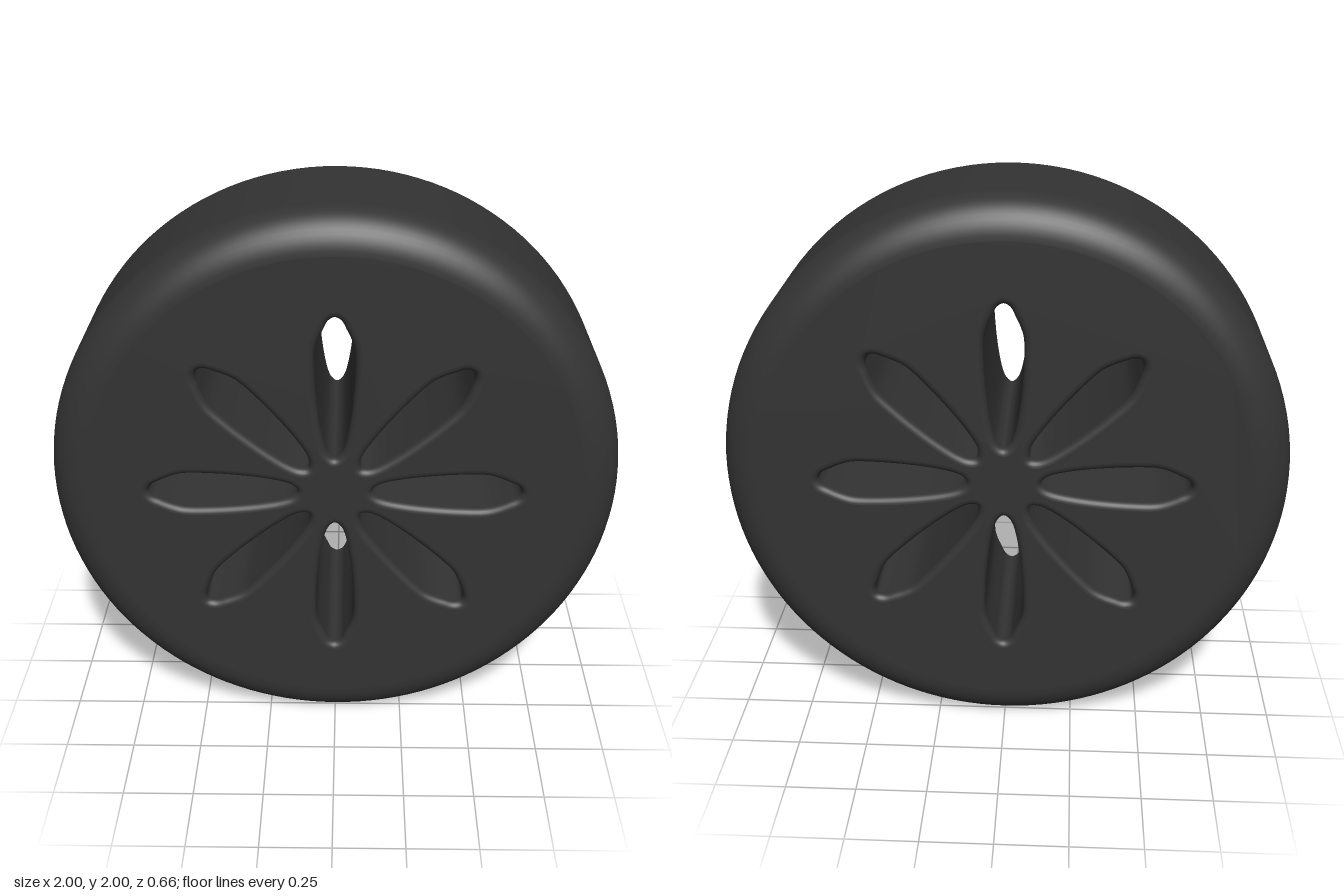
import * as THREE from 'three';

const R = 1, HALF = 0.33, ROUND = 0.135, EDGE = 0.025;
const SEGMENTS = 128, PETALS = 8;

// Closed petal outline pointing along +x, running counter-clockwise
function petalOutline() {
  const side = [[0.145, 0.02], [0.175, 0.034], [0.25, 0.05], [0.35, 0.062], [0.45, 0.068],
    [0.53, 0.067], [0.57, 0.056], [0.61, 0.038], [0.64, 0.022]];
  const lower = side.map(([x, y]) => new THREE.Vector3(x, -y, 0));
  const upper = side.map(([x, y]) => new THREE.Vector3(x, y, 0)).reverse();
  const curve = new THREE.CatmullRomCurve3([
    new THREE.Vector3(0.13, 0, 0), ...lower, new THREE.Vector3(0.652, 0, 0), ...upper,
  ], true);
  return curve.getPoints(80).slice(0, -1);
}

// Move the outline outwards along its normals
function offsetOutline(points, d) {
  const n = points.length;
  return points.map((p, i) => {
    const t = points[(i + 1) % n].clone().sub(points[(i + n - 1) % n]).normalize();
    return new THREE.Vector2(p.x + t.y * d, p.y - t.x * d);
  });
}

// Inner wall of one petal opening, with rounded rims at both faces
function petalWall(outline) {
  const sections = [];
  for (let i = 0; i <= 6; i++) {
    const a = (i / 6) * Math.PI / 2;
    sections.push([EDGE * (1 - Math.sin(a)), -HALF + EDGE * (1 - Math.cos(a))]);
  }
  for (const [d, z] of sections.slice().reverse()) sections.push([d, -z]);

  const n = outline.length, positions = [], indices = [];
  sections.forEach(([d, z], s) => {
    for (const p of offsetOutline(outline, d)) positions.push(p.x, p.y, z);
    if (s === sections.length - 1) return;
    for (let i = 0; i < n; i++) {
      const a = s * n + i, b = s * n + (i + 1) % n;
      indices.push(a, a + n, b, b, a + n, b + n);
    }
  });
  const geometry = new THREE.BufferGeometry();
  geometry.setAttribute('position', new THREE.Float32BufferAttribute(positions, 3));
  geometry.setIndex(indices);
  geometry.computeVertexNormals();
  return geometry;
}

export function createModel() {
  const model = new THREE.Group();
  const wheel = new THREE.Group();
  wheel.name = 'wheel';
  wheel.position.y = R;
  model.add(wheel);

  const material = new THREE.MeshStandardMaterial({ color: 0x333333 });
  const add = (name, geometry) => {
    const mesh = new THREE.Mesh(geometry, material);
    mesh.name = name;
    wheel.add(mesh);
    return mesh;
  };

  // Rim: flat tread with a rounded shoulder on each side
  const shoulder = [];
  for (let i = 0; i <= 12; i++) {
    const a = (i / 12) * Math.PI / 2;
    shoulder.push(new THREE.Vector2(R - ROUND + ROUND * Math.sin(a), -HALF + ROUND * (1 - Math.cos(a))));
  }
  const profile = [...shoulder, ...shoulder.slice().reverse().map((p) => new THREE.Vector2(p.x, -p.y))];
  add('rim', new THREE.LatheGeometry(profile, SEGMENTS).rotateX(Math.PI / 2));

  // Flat faces pierced by the ring of petals
  const outline = petalOutline();
  const face = new THREE.Shape();
  for (let i = 0; i < SEGMENTS; i++) {
    const a = (i / SEGMENTS) * Math.PI * 2;
    face[i ? 'lineTo' : 'moveTo']((R - ROUND) * Math.cos(a), (R - ROUND) * Math.sin(a));
  }
  const edge = offsetOutline(outline, EDGE);
  for (let k = 0; k < PETALS; k++) {
    const angle = (k / PETALS) * Math.PI * 2;
    face.holes.push(new THREE.Path(edge.map((p) => p.clone().rotateAround(new THREE.Vector2(), angle))));
  }
  const faceGeometry = new THREE.ShapeGeometry(face);
  add('frontFace', faceGeometry).position.z = HALF;
  const back = add('backFace', faceGeometry);
  back.position.z = -HALF;
  back.rotation.y = Math.PI;

  // Walls of the petal openings
  const wall = petalWall(outline);
  for (let k = 0; k < PETALS; k++) {
    add('petalOpening' + (k + 1), wall).rotation.z = (k / PETALS) * Math.PI * 2;
  }
  return model;
}
